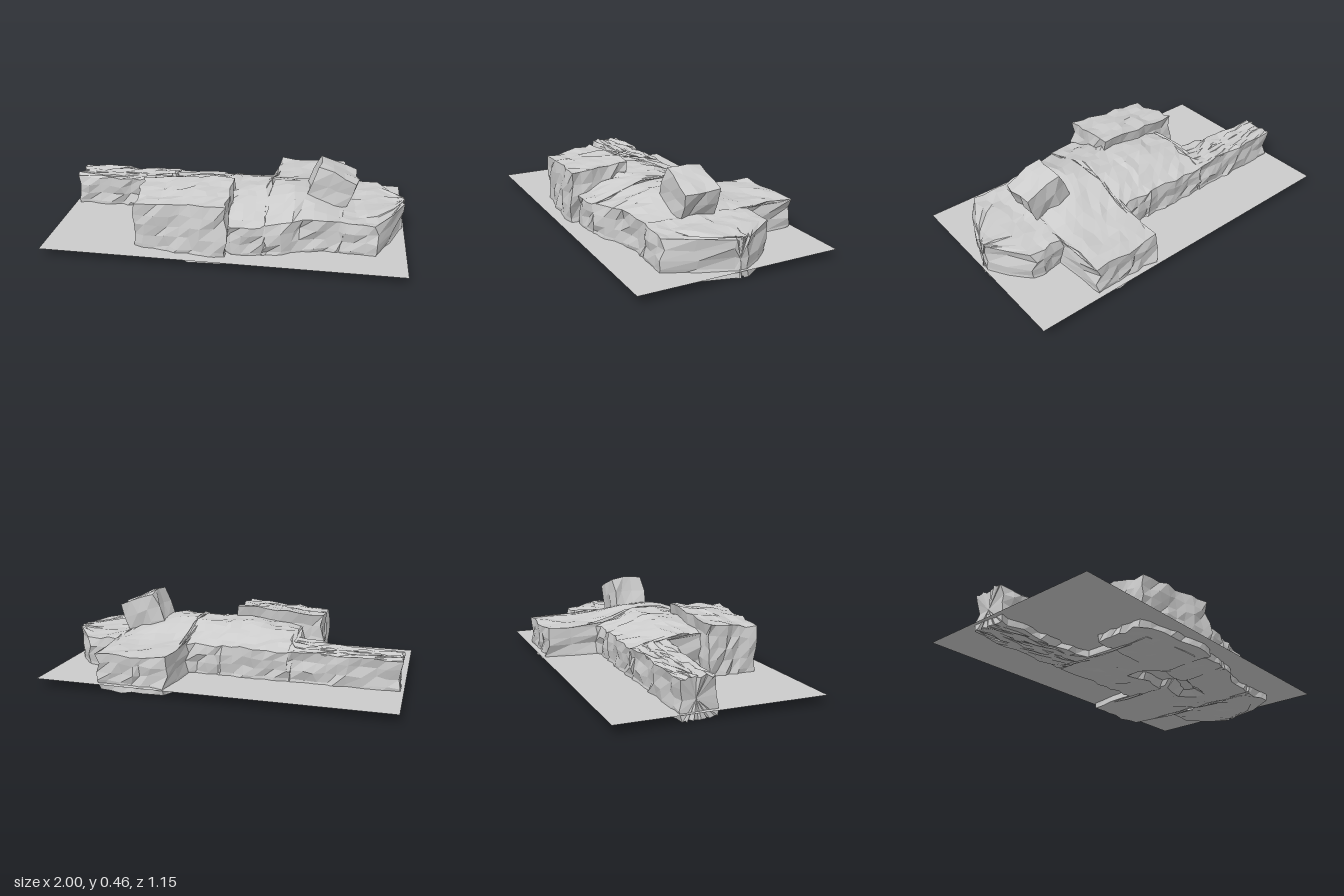
import * as THREE from 'three';

const rock = new THREE.MeshStandardMaterial({ color: 0xcccccc, flatShading: true });

// repeatable noise in -1..1 from a position, equal for coincident corners
function noise(x, y, z, seed) {
  const r = (v) => Math.round(v * 1000) / 1000;
  const s = Math.sin(r(x) * 127.1 + r(y) * 311.7 + r(z) * 74.7 + seed * 19.3) * 43758.5453;
  return (s - Math.floor(s)) * 2 - 1;
}

// chip a geometry into rough facets, keeping it on the ground
function roughen(geometry, amount) {
  const p = geometry.attributes.position;
  for (let i = 0; i < p.count; i++) {
    const x = p.getX(i), y = p.getY(i), z = p.getZ(i);
    const vertical = amount * (y < 0.02 ? 0.5 : 0.6);
    p.setXYZ(i,
      THREE.MathUtils.clamp(x + amount * noise(x, y, z, 1), -0.99, 0.995),
      Math.max(0, y + vertical * noise(x, y, z, 2)),
      z + amount * noise(x, y, z, 3));
  }
  const flat = geometry.index ? geometry.toNonIndexed() : geometry;
  flat.computeVertexNormals();
  return flat;
}

function addMesh(group, name, geometry, material = rock) {
  const mesh = new THREE.Mesh(geometry, material);
  mesh.name = name;
  group.add(mesh);
}

// gentle mound over the middle of the slab
const { smoothstep } = THREE.MathUtils;
function topHeight(x, z) {
  const alongX = smoothstep(x, -0.75, 0.0) * (1 - smoothstep(x, 0.35, 0.75));
  const alongZ = smoothstep(z, -0.27, 0.02) * (1 - smoothstep(z, 0.15, 0.47));
  return 0.22 + 0.09 * alongX * alongZ;
}

// hollow under the slab
const bottomHeight = (x, z) =>
  x > 0 && x < 0.45 && Math.abs(z - 0.09) < 0.05 ? 0.08 : 0.01;

// slab outline: x, back z, front z
const outline = [
  [-0.98, -0.23, -0.04], [-0.7, -0.24, -0.04], [-0.46, -0.24, -0.04], [-0.39, -0.24, -0.02],
  [-0.375, -0.24, 0.2], [-0.36, -0.24, 0.4], [0.02, -0.235, 0.44], [0.05, -0.235, 0.47],
  [0.22, -0.235, 0.46], [0.228, -0.4, 0.457], [0.236, -0.545, 0.455], [0.33, -0.545, 0.425],
  [0.43, -0.545, 0.375], [0.634, -0.54, 0.36], [0.642, -0.4, 0.36], [0.65, -0.24, 0.36],
  [0.83, -0.25, 0.365], [0.92, -0.13, 0.22], [0.985, -0.03, 0.04],
];

function slabGeometry() {
  const across = 12, up = 4, step = 0.065;
  const stations = [];
  outline.forEach((a, i) => {
    const b = outline[i + 1];
    if (!b) return stations.push(a);
    const n = Math.max(1, Math.round((b[0] - a[0]) / step));
    for (let k = 0; k < n; k++) stations.push(a.map((v, j) => v + (b[j] - v) * k / n));
  });

  // each ring runs over the top, down the front, under, and up the back
  const positions = [], index = [], size = 2 * (across + up);
  for (const [x, back, front] of stations) {
    const at = (t) => back + (front - back) * t;
    const wall = (z, t) => bottomHeight(x, z) * (1 - t) + topHeight(x, z) * t;
    for (let k = 0; k < across; k++) {
      const z = at(k / across);
      positions.push(x, topHeight(x, z), z);
    }
    for (let k = 0; k < up; k++) positions.push(x, wall(front, 1 - k / up), front);
    for (let k = 0; k < across; k++) {
      const z = at(1 - k / across);
      positions.push(x, bottomHeight(x, z), z);
    }
    for (let k = 0; k < up; k++) positions.push(x, wall(back, k / up), back);
  }
  const last = stations.length - 1;
  for (let i = 0; i < last; i++) {
    for (let k = 0; k < size; k++) {
      const a = i * size + k, b = i * size + (k + 1) % size;
      index.push(a, b, a + size, b, b + size, a + size);
    }
  }

  // end faces
  for (const i of [0, last]) {
    const [x, back, front] = stations[i];
    const centre = positions.length / 3;
    positions.push(x, 0.115, (back + front) / 2);
    for (let k = 0; k < size; k++) {
      const a = i * size + k, b = i * size + (k + 1) % size;
      if (i) index.push(centre, a, b);
      else index.push(centre, b, a);
    }
  }
  const geometry = new THREE.BufferGeometry();
  geometry.setAttribute('position', new THREE.Float32BufferAttribute(positions, 3));
  geometry.setIndex(index);
  return roughen(geometry, 0.014);
}

// tall block with a sloping top and a bulging, flared front
function blockGeometry() {
  const geometry = new THREE.BoxGeometry(1, 1, 1, 8, 5, 6);
  const p = geometry.attributes.position;
  for (let i = 0; i < p.count; i++) {
    const u = p.getX(i) + 0.5, v = p.getY(i) + 0.5, w = p.getZ(i) + 0.5;
    const x = -0.485 - 0.01 * (1 - v) + u * (0.515 + 0.01 * (1 - v));
    const front = 0.455 + 0.04 * u + 0.035 * (1 - v) * Math.sin(Math.PI * Math.min(1, u * 0.8));
    const z = 0.165 + w * (front - 0.165);
    const top = 0.335 + 0.03 * smoothstep(u, 0, 0.7) - 0.03 * w;
    p.setXYZ(i, x, 0.01 + v * (top - 0.01), z);
  }
  return roughen(geometry, 0.013);
}

// tilted boulder resting on the mound
function boulderGeometry() {
  const geometry = new THREE.BoxGeometry(0.225, 0.25, 0.2, 3, 3, 3);
  geometry.rotateZ(-0.36);
  geometry.translate(0.565, 0.3, 0.065);
  return roughen(geometry, 0.014);
}

export function createModel() {
  const group = new THREE.Group();
  group.name = 'rockFormation';

  addMesh(group, 'rockSlab', slabGeometry());
  addMesh(group, 'rockBlock', blockGeometry());
  addMesh(group, 'boulder', boulderGeometry());

  // thin ground sheet cutting just above the rock's underside
  const sheet = new THREE.PlaneGeometry(2, 1.15).rotateX(-Math.PI / 2).translate(0, 0.05, 0);
  addMesh(group, 'groundSheet', sheet,
    new THREE.MeshStandardMaterial({ color: 0xcccccc, side: THREE.DoubleSide }));
  return group;
}
